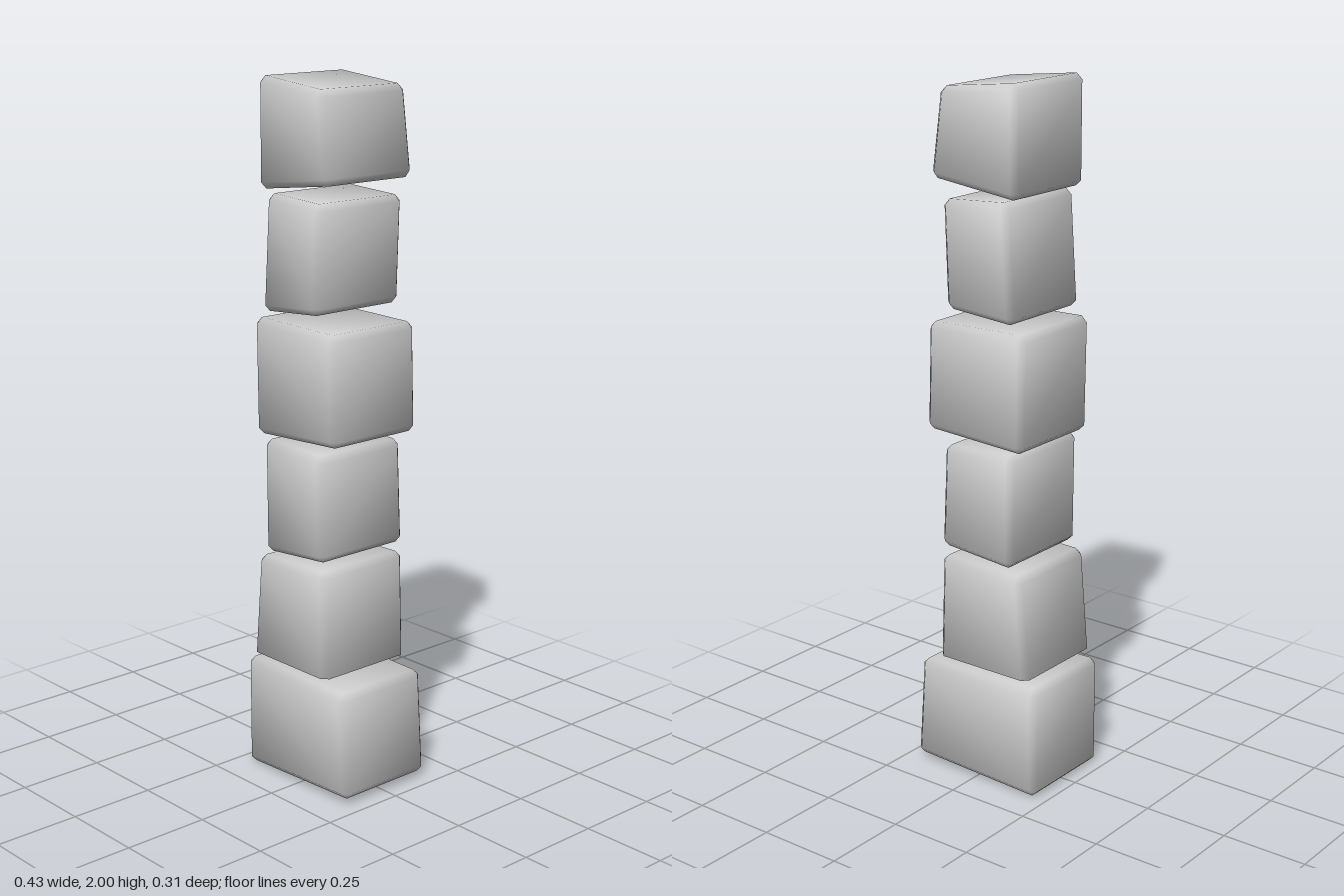
import * as THREE from 'three';

const BEVEL = 0.018, HALF_DEPTH = 0.156, SPREAD = 0.39;

// Front outlines, bottom to top: bottom left, bottom right, top right, top left
const BLOCKS = [
  { outline: [[-0.217, 0], [0.213, 0.018], [0.192, 0.325], [-0.217, 0.331]] },
  { outline: [[-0.19, 0.337], [0.125, 0.337], [0.114, 0.664], [-0.162, 0.655]], floor: 0.355 },
  { outline: [[-0.132, 0.672], [0.115, 0.693], [0.101, 0.992], [-0.135, 1.002]] },
  { outline: [[-0.168, 1.01], [0.164, 1.028], [0.154, 1.336], [-0.173, 1.342]] },
  { outline: [[-0.137, 1.363], [0.091, 1.381], [0.102, 1.679], [-0.115, 1.691]] },
  { outline: [[-0.148, 1.697], [0.142, 1.733], [0.108, 1.977], [-0.148, 2.003]] },
];

// Crooked block with one-step bevels and soft normals, made of four rings
// running front to back: cap, chamfered outline, chamfered outline, cap
function blockGeometry(outline, floor = 0) {
  const corners = outline.map(([x, y]) => new THREE.Vector3(x, y, 0));
  const pos = [], nor = [], index = [];
  for (let r = 0; r < 4; r++) {
    const cap = r === 0 || r === 3, side = r < 2 ? 1 : -1;
    for (let i = 0; i < 8; i++) {
      const k = i >> 1, c = corners[k];
      const toPrev = corners[(k + 3) % 4].clone().sub(c).normalize();
      const toNext = corners[(k + 1) % 4].clone().sub(c).normalize();
      const along = i % 2 ? toNext : toPrev, across = i % 2 ? toPrev : toNext;
      const p = c.clone().addScaledVector(along, BEVEL);
      if (cap) p.addScaledVector(across, BEVEL);
      const n = new THREE.Vector3(0, 0, side * (cap ? 1 : SPREAD))
        .addScaledVector(along, -SPREAD)
        .addScaledVector(across, cap ? -SPREAD : -1).normalize();
      pos.push(p.x, Math.max(p.y, floor), side * (cap ? HALF_DEPTH : HALF_DEPTH - BEVEL));
      nor.push(n.x, n.y, n.z);
    }
  }
  // Strips between rings; at the caps each corner closes with one triangle
  for (let r = 0; r < 3; r++) {
    for (let i = 0; i < 8; i++) {
      const a = r * 8 + i, b = r * 8 + (i + 1) % 8, c = b + 8, d = a + 8;
      const corner = i % 2 === 0;
      if (!(corner && r === 2)) index.push(a, d, c);
      if (!(corner && r === 0)) index.push(a, c, b);
    }
  }
  // Front and back faces
  index.push(0, 2, 6, 2, 4, 6);
  index.push(24, 28, 26, 24, 30, 28);

  const g = new THREE.BufferGeometry();
  g.setAttribute('position', new THREE.Float32BufferAttribute(pos, 3));
  g.setAttribute('normal', new THREE.Float32BufferAttribute(nor, 3));
  g.setIndex(index);
  return g;
}

export function createModel() {
  const group = new THREE.Group();
  group.name = 'stackedStonePillar';
  const stone = new THREE.MeshStandardMaterial({ color: 0xcccccc });
  BLOCKS.forEach(({ outline, floor }, i) => {
    const block = new THREE.Mesh(blockGeometry(outline, floor), stone);
    block.name = `stoneBlock${i + 1}`;
    group.add(block);
  });
  return group;
}
